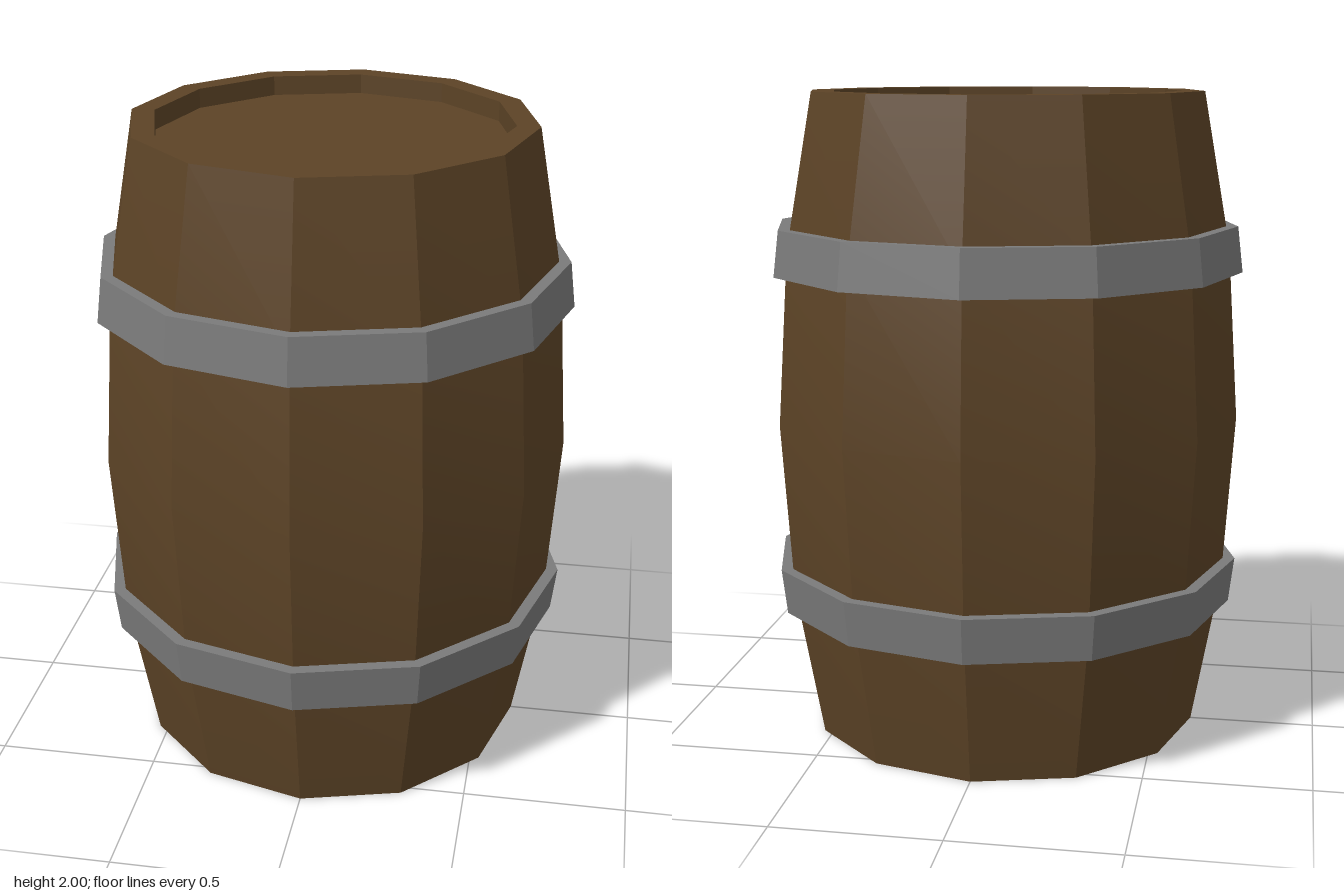
import * as THREE from 'three';
import { toCreasedNormals } from 'three/addons/utils/BufferGeometryUtils.js';

const SIDES = 12;

// Spins [radius, height] pairs, listed from bottom to top around the outside
function spin(profile) {
  const points = profile.map(([r, y]) => new THREE.Vector2(r, y));
  return toCreasedNormals(new THREE.LatheGeometry(points, SIDES), 0.3);
}

function addMesh(group, name, geometry, material) {
  const mesh = new THREE.Mesh(geometry, material);
  mesh.name = name;
  group.add(mesh);
  return mesh;
}

export function createModel() {
  const group = new THREE.Group();
  group.name = 'barrel';
  const wood = new THREE.MeshStandardMaterial({ color: 0x5c4326 });
  wood.name = 'darkWood';
  const iron = new THREE.MeshStandardMaterial({ color: 0x7a7a7a });
  iron.name = 'greyIron';

  // Bulging staves with rims and recessed heads at both ends
  const lowerHalf = [[0, 0.06], [0.54, 0.06], [0.54, 0], [0.61, 0], [0.695, 0.47]];
  const upperHalf = lowerHalf.map(([r, y]) => [r, 2 - y]).reverse();
  addMesh(group, 'staves', spin([...lowerHalf, [0.73, 1], ...upperHalf]), wood);

  // Hoops, each wider on the edge nearest the belly
  const lowerHoop = [[0.66, 0.405], [0.72, 0.405], [0.737, 0.545], [0.66, 0.545]];
  const upperHoop = lowerHoop.map(([r, y]) => [r, 2 - y]).reverse();
  addMesh(group, 'lowerHoop', spin(lowerHoop), iron);
  addMesh(group, 'upperHoop', spin(upperHoop), iron);

  // Six-sided plug standing out of the bottom head
  const plug = new THREE.CylinderGeometry(0.1, 0.1, 0.06, 6);
  addMesh(group, 'plug', toCreasedNormals(plug, 0.3), wood).position.set(0.32, 0.05, 0.08);

  return group;
}
